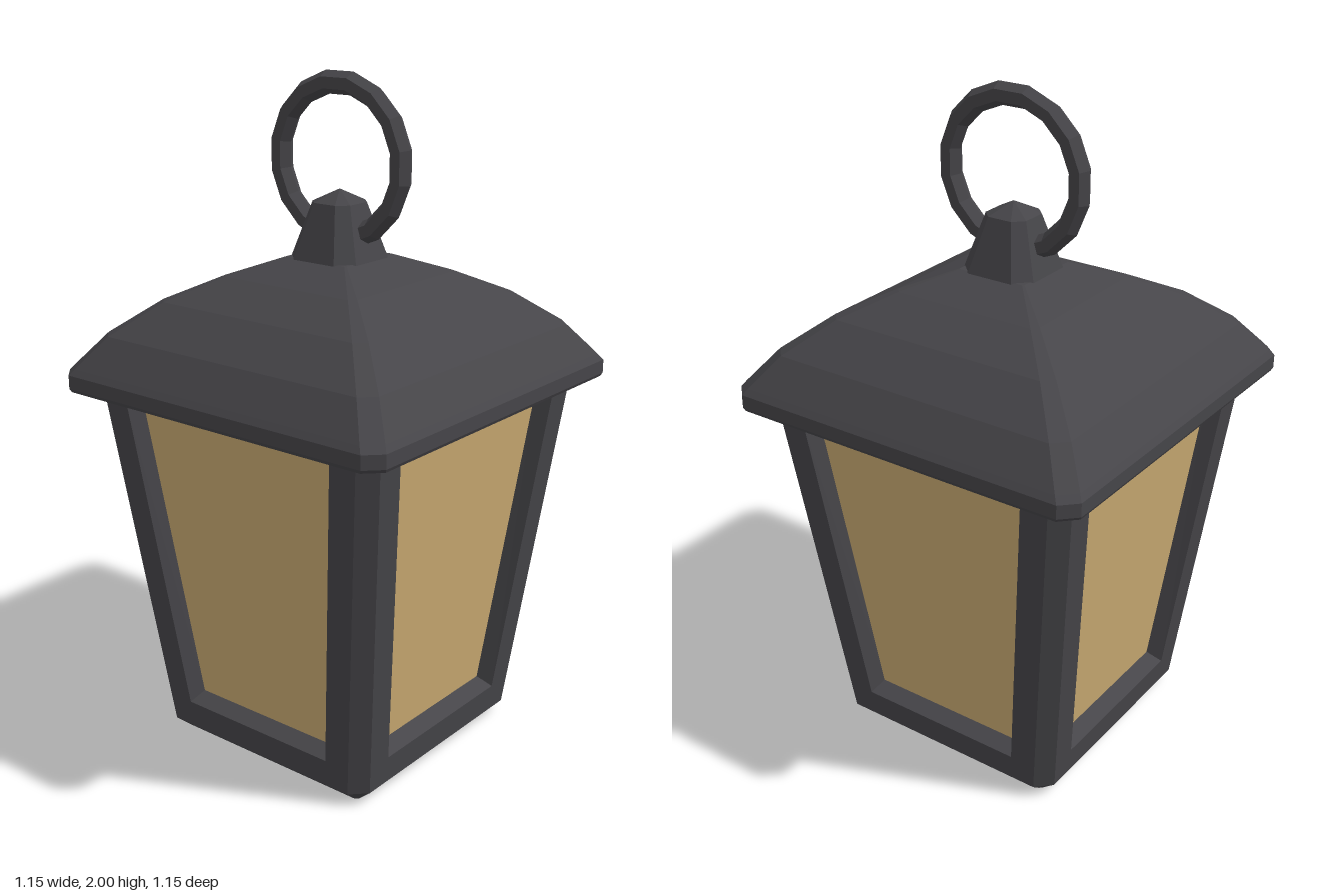
import * as THREE from 'three';

const metal = new THREE.MeshStandardMaterial({ color: 0x464549 });
metal.name = 'dark iron';
const amber = new THREE.MeshStandardMaterial({ color: 0xcaab72 });
amber.name = 'amber glass';

// Faceted skin over a list of matching point loops, with optional end caps
function loft(loops, capStart = false, capEnd = false) {
  const pos = [];
  const tri = (a, b, c) => pos.push(...a, ...b, ...c);
  for (let k = 0; k + 1 < loops.length; k++) {
    const lo = loops[k], up = loops[k + 1], n = lo.length;
    for (let i = 0; i < n; i++) {
      const j = (i + 1) % n;
      tri(lo[i], lo[j], up[j]);
      tri(lo[i], up[j], up[i]);
    }
  }
  const first = loops[0], last = loops[loops.length - 1];
  if (capStart) for (let i = 1; i + 1 < first.length; i++) tri(first[0], first[i + 1], first[i]);
  if (capEnd) for (let i = 1; i + 1 < last.length; i++) tri(last[0], last[i], last[i + 1]);
  const g = new THREE.BufferGeometry();
  g.setAttribute('position', new THREE.Float32BufferAttribute(pos, 3));
  g.computeVertexNormals();
  return g;
}

// Horizontal square of half width h with corners cut by c
const square = (h, y, c) => {
  const m = h - c;
  return [[-m, y, h], [m, y, h], [h, y, m], [h, y, -m], [m, y, -h], [-m, y, -h], [-h, y, -m], [-h, y, m]];
};

function add(parent, name, geometry, material) {
  const mesh = new THREE.Mesh(geometry, material);
  mesh.name = name;
  parent.add(mesh);
  return mesh;
}

const Y0 = 0.04, Y1 = 1.13, CUT = 0.045;
const half = (y) => 0.385 + (y - Y0) * 0.112;

// Upright four-sided loop lying on the sloping wall, pushed in by depth
const wallLoop = (xb, yb, xt, yt, depth = 0) => [
  [-xb, yb, half(yb) - depth], [xb, yb, half(yb) - depth],
  [xt, yt, half(yt) - depth], [-xt, yt, half(yt) - depth],
];

export function createModel() {
  const lantern = new THREE.Group();
  lantern.name = 'lantern';

  // Four framed windows, each with the bevelled post to its right
  const pane = wallLoop(0.252, 0.15, 0.356, 1.077, 0.05);
  const frame = loft([
    wallLoop(half(Y0) - CUT, Y0, half(Y1) - CUT, Y1),
    wallLoop(0.267, 0.125, 0.372, 1.087),
    pane,
  ]);
  const glass = loft([pane], false, true);
  const b = half(Y0), t = half(Y1);
  const post = loft([[
    [b - CUT, Y0, b], [b, Y0, b - CUT], [t, Y1, t - CUT], [t - CUT, Y1, t],
  ]], false, true);
  for (let i = 0; i < 4; i++) {
    const side = new THREE.Group();
    side.name = 'windowSide' + i;
    side.rotation.y = i * Math.PI / 2;
    add(side, 'windowFrame', frame, metal);
    add(side, 'windowPane', glass, amber);
    add(side, 'cornerPost', post, metal);
    lantern.add(side);
  }

  // Bevelled floor
  add(lantern, 'base', loft([square(0.34, 0, 0.01), square(b, Y0, CUT)], true), metal);

  // Domed square roof with a thick rim
  const roofRings = [
    [0.57, 1.11, 0.045], [0.575, 1.12, 0.045], [0.575, 1.16, 0.045], [0.562, 1.178, 0.045],
    [0.49, 1.27, 0.04], [0.372, 1.365, 0.03], [0.24, 1.433, 0.018], [0.11, 1.485, 0.005],
  ];
  add(lantern, 'roof', loft(roofRings.map((r) => square(...r)), true, true), metal);

  // Tapered eight-sided mount with a low pointed cap
  add(lantern, 'ringMount', loft([
    square(0.12, 1.475, 0.045), square(0.068, 1.64, 0.03), square(0.002, 1.675, 0.001),
  ], true, true), metal);

  // Hanging ring, facing sideways
  const ring = new THREE.TorusGeometry(0.217, 0.033, 6, 16).toNonIndexed();
  ring.computeVertexNormals();
  ring.rotateZ(Math.PI / 16).rotateY(Math.PI / 2);
  add(lantern, 'hangingRing', ring, metal).position.y = 1.755;

  return lantern;
}
